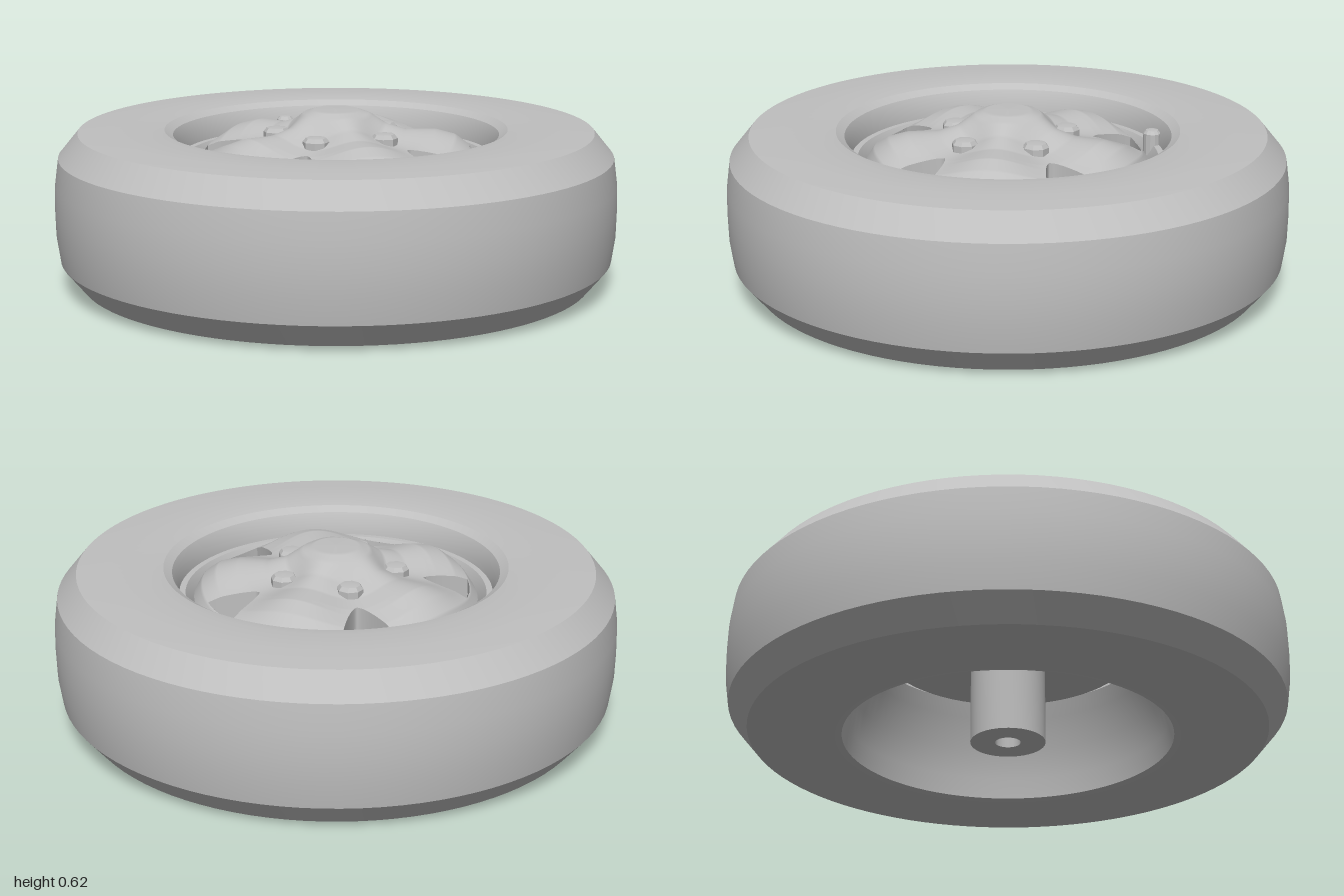
import * as THREE from 'three';
import { toCreasedNormals } from 'three/addons/utils/BufferGeometryUtils.js';
import { ParametricGeometry } from 'three/addons/geometries/ParametricGeometry.js';

const SPOKES = 5;
const STEP = (Math.PI * 2) / SPOKES;
const FIRST = THREE.MathUtils.degToRad(30.5); // angle of the first window
const WIN_IN = 0.31, WIN_OUT = 0.475, DISC_R = 0.505;
const PLATE_Y = 0.34;

// Radius / height profiles along a raised arm and along a valley
const ARM = [[0, 0.62], [0.08, 0.618], [0.12, 0.606], [0.18, 0.567], [0.25, 0.546], [0.36, 0.545], [0.43, 0.525], [0.48, 0.485], [0.51, 0.43]];
const VALLEY = [[0, 0.62], [0.08, 0.618], [0.12, 0.602], [0.18, 0.538], [0.25, 0.513], [0.33, 0.502], [0.43, 0.478], [0.48, 0.46], [0.51, 0.42]];

function sample(profile, r) {
  let i = 1;
  while (i < profile.length - 1 && profile[i][0] < r) i++;
  const [r0, y0] = profile[i - 1], [r1, y1] = profile[i];
  return THREE.MathUtils.lerp(y0, y1, (r - r0) / (r1 - r0));
}

function discHeight(r, a) {
  const k = 0.5 - 0.5 * Math.cos(SPOKES * (a - FIRST));
  return THREE.MathUtils.lerp(sample(VALLEY, r), sample(ARM, r), k);
}

// Half angle of a window at a given radius: a triangle with a blunt tip
function windowHalf(r) {
  const t = THREE.MathUtils.clamp((r - WIN_IN) / (WIN_OUT - WIN_IN), 0, 1);
  return (0.09 * Math.pow(t, 0.7)) / r;
}

export function createModel() {
  const grey = new THREE.MeshStandardMaterial({ color: 0xbfbfbf, side: THREE.DoubleSide });
  grey.name = 'grey';
  const model = new THREE.Group();
  model.name = 'wheel';

  function add(name, geometry, parent = model) {
    const mesh = new THREE.Mesh(geometry, grey);
    mesh.name = name;
    parent.add(mesh);
    return mesh;
  }
  const lathe = (pts, n, crease = 0.35) =>
    toCreasedNormals(new THREE.LatheGeometry(pts.map(p => new THREE.Vector2(...p)), n), crease);

  // Tyre: flat tread, chamfered shoulders, rounded inner lip
  add('tyre', lathe([
    [0.585, 0.012], [0.62, 0.002], [0.8, 0], [0.915, 0.015], [0.985, 0.1], [0.998, 0.19], [1, 0.28],
    [0.998, 0.37], [0.985, 0.465], [0.915, 0.55], [0.8, 0.558], [0.66, 0.56], [0.61, 0.553],
    [0.58, 0.535], [0.563, 0.5], [0.557, 0.455],
  ], 96));

  // Rim: narrow flange, gutter and tapered barrel open at the bottom
  add('rim', lathe([
    [0.557, 0.455], [0.535, 0.455], [0.515, 0.42], [0.5, 0.37], [0.52, 0.31], [0.56, 0.2], [0.578, 0.09], [0.585, 0.012],
  ], 96, 0.6));

  // Spoked disc
  const disc = new THREE.Group();
  disc.name = 'spokedDisc';
  model.add(disc);
  const put = (r, a, target) => target.set(r * Math.cos(a), discHeight(r, a), r * Math.sin(a));

  const ring = (r0, r1, radial) => new ParametricGeometry((u, v, p) => {
    put(r0 + (r1 - r0) * v, FIRST - u * Math.PI * 2, p);
  }, 100, radial);
  add('hubDome', ring(0.001, WIN_IN, 24), disc);
  add('discEdge', ring(WIN_OUT, DISC_R, 4), disc);

  for (let i = 0; i < SPOKES; i++) {
    const a0 = FIRST + i * STEP;
    // Spoke between this window and the next
    add('spoke', new ParametricGeometry((u, v, p) => {
      const r = WIN_IN + (WIN_OUT - WIN_IN) * v;
      const w = windowHalf(r);
      put(r, a0 + STEP - w - u * (STEP - 2 * w), p);
    }, 20, 16), disc);

    // Window side walls, running down towards the back plate
    for (const side of [-1, 1]) {
      add('windowWall', new ParametricGeometry((u, v, p) => {
        const r = WIN_IN + (WIN_OUT - WIN_IN) * u;
        put(r, a0 + side * windowHalf(r), p);
        p.y = THREE.MathUtils.lerp(p.y, 0.39, v);
      }, 16, 1), disc);
    }
    // Window outer wall
    add('windowOuterWall', new ParametricGeometry((u, v, p) => {
      put(WIN_OUT, a0 + (2 * u - 1) * windowHalf(WIN_OUT), p);
      p.y = THREE.MathUtils.lerp(p.y, 0.42, v);
    }, 8, 1), disc);

    // Wheel nut in the valley
    const nut = add('wheelNut', lathe([[0.047, -0.05], [0.047, 0.012], [0.036, 0.026], [0, 0.03]], 8), disc);
    nut.position.set(0.212 * Math.cos(a0), 0.525, 0.212 * Math.sin(a0));
  }

  // Back plate behind the windows
  const plate = add('backPlate', new THREE.CylinderGeometry(0.44, 0.445, 0.03, 64));
  plate.position.y = PLATE_Y + 0.015;

  // Axle tube with a bore
  add('axleTube', lathe([[0.045, PLATE_Y], [0.045, 0], [0.133, 0], [0.133, PLATE_Y]], 40));

  // Valve stem beside the disc
  const valve = add('valveStem', lathe([[0.032, -0.05], [0.032, 0.05], [0.022, 0.062], [0, 0.065]], 12));
  valve.position.set(-0.25, 0.445, -0.475);

  return model;
}
